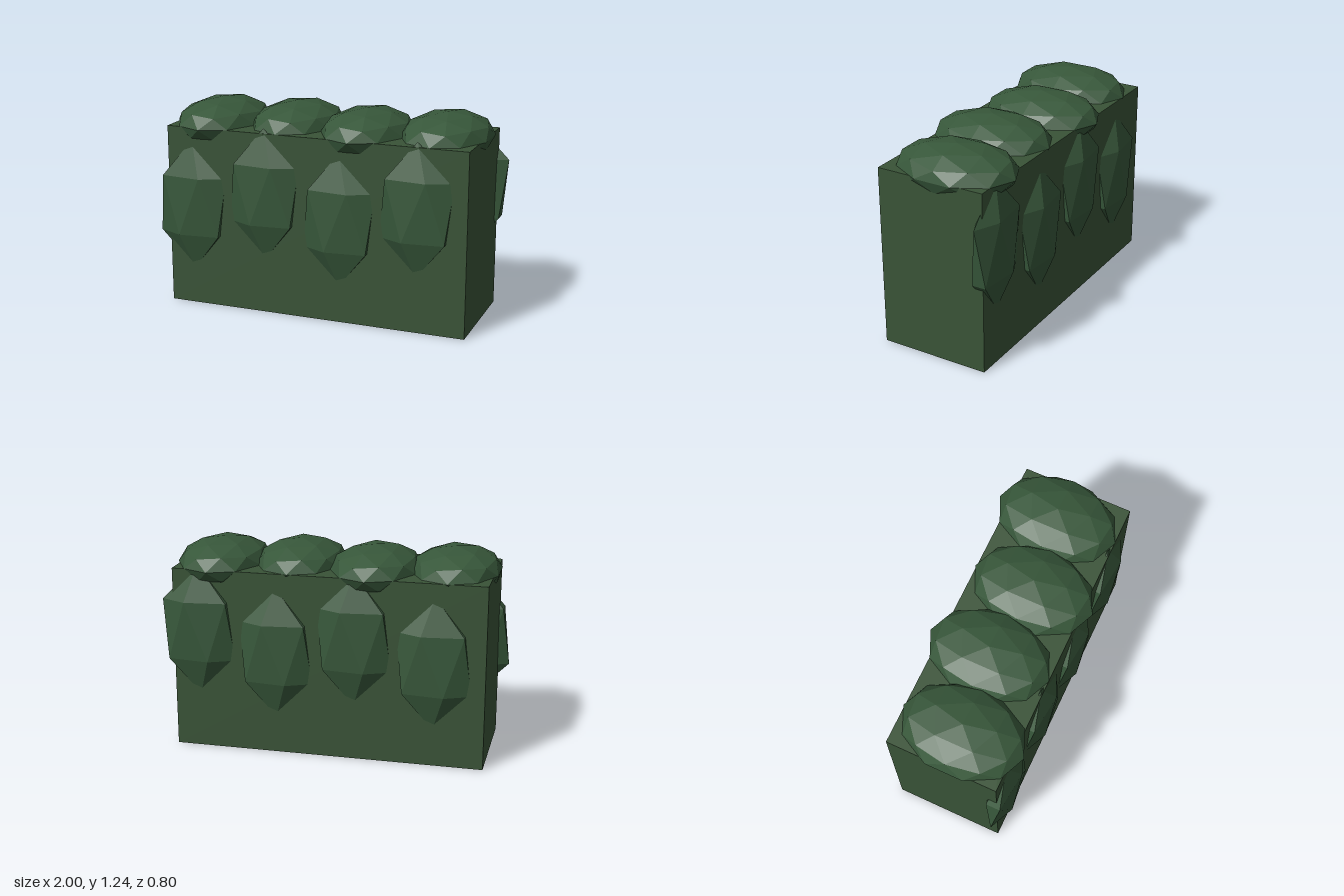
import * as THREE from 'three';

// Faceted ball standing on a vertex, with flat normals
function facetedBall(detail, rx, ry, rz) {
  const g = new THREE.IcosahedronGeometry(1, detail);
  g.rotateZ(-Math.atan(2 / (1 + Math.sqrt(5))));
  g.scale(rx, ry, rz);
  g.computeVertexNormals(); // unindexed, so each face stays flat
  return g;
}

export function createModel() {
  const hedge = new THREE.Group();
  hedge.name = 'hedge';

  const trunkGreen = new THREE.MeshStandardMaterial({ color: 0x395337 });
  trunkGreen.name = 'hedge green';
  const leafGreen = new THREE.MeshStandardMaterial({ color: 0x37573a });
  leafGreen.name = 'leaf green';

  const add = (name, geometry, material, x, y, z) => {
    const mesh = new THREE.Mesh(geometry, material);
    mesh.name = name;
    mesh.position.set(x, y, z);
    hedge.add(mesh);
  };

  // Clipped rectangular body
  add('hedgeBody', new THREE.BoxGeometry(1.865, 1.1, 0.67), trunkGreen, 0, 0.55, 0.005);

  const topClump = facetedBall(1, 0.269, 0.14, 0.37);
  const sideClump = facetedBall(0, 0.247, 0.4, 0.083);

  for (let i = 0; i < 4; i++) {
    const odd = i % 2;
    // Rounded clumps along the top, staggered in depth
    add('topClump' + (i + 1), topClump, leafGreen, -0.7 + i * 0.467, 1.1, odd ? -0.028 : 0.032);
    // Tall clumps on the front and back, staggered in height
    const y = odd ? 0.73 : 0.62;
    add('frontClump' + (i + 1), sideClump, leafGreen, -0.779 + i * 0.47, y, 0.328);
    add('backClump' + (i + 1), sideClump, leafGreen, -0.631 + i * 0.47, y, -0.318);
  }
  return hedge;
}
